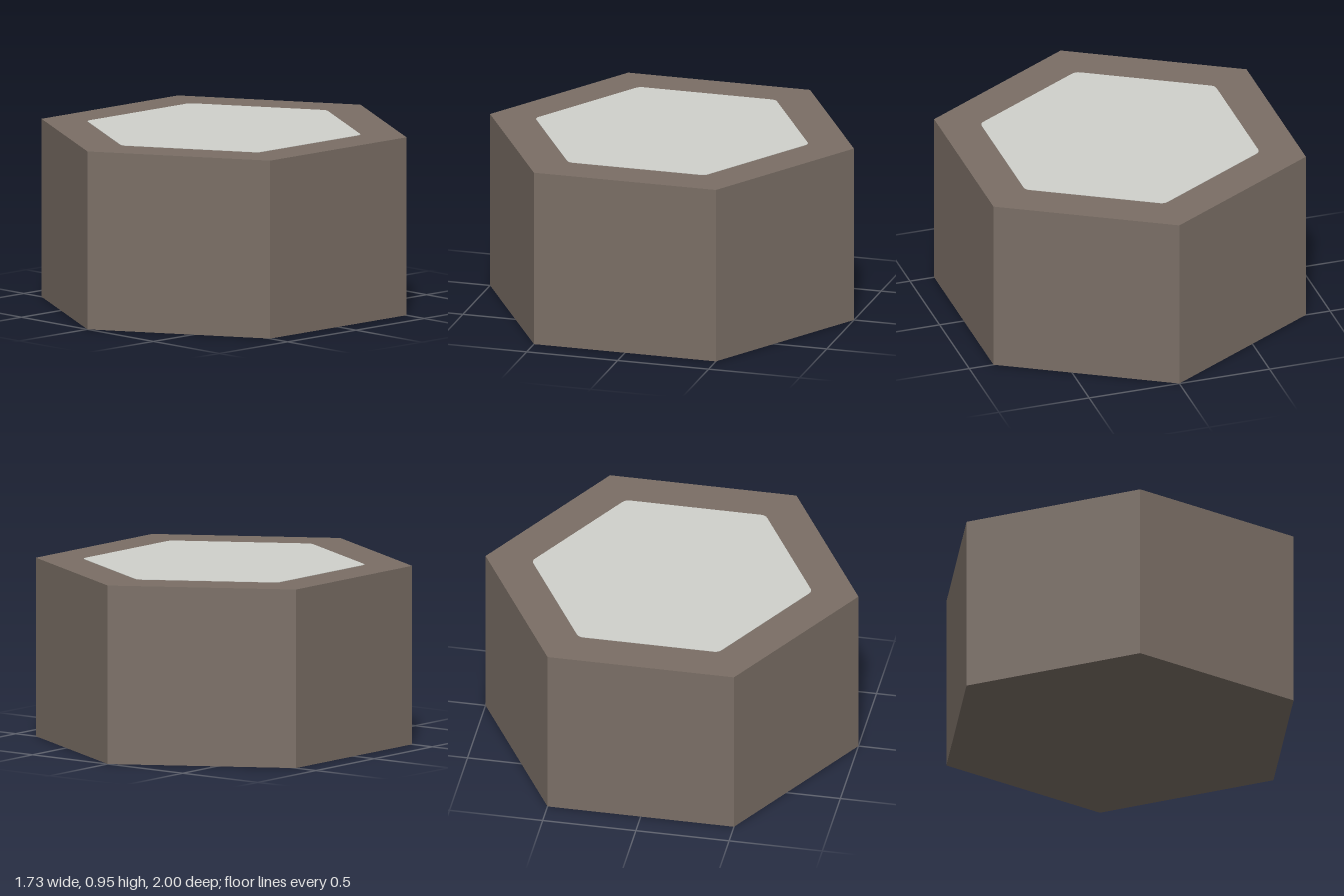
import * as THREE from 'three';

const HEIGHT = 0.952;
const PLATE = 0.002;

// Hexagon with a point on the z axis and slightly softened corners
function softHexagon(radius, soften) {
  const corners = [];
  for (let i = 0; i < 6; i++) {
    const a = (i * Math.PI) / 3;
    corners.push(new THREE.Vector2(Math.sin(a) * radius, Math.cos(a) * radius));
  }
  corners.reverse(); // counter-clockwise
  const shape = new THREE.Shape();
  corners.forEach((c, i) => {
    const before = c.clone().lerp(corners[(i + 5) % 6], soften);
    const after = c.clone().lerp(corners[(i + 1) % 6], soften);
    if (i === 0) shape.moveTo(before.x, before.y);
    else shape.lineTo(before.x, before.y);
    shape.quadraticCurveTo(c.x, c.y, after.x, after.y);
  });
  shape.closePath();
  return shape;
}

export function createModel() {
  const brown = new THREE.MeshStandardMaterial({ color: 0x7a6e65 });
  brown.name = 'stone brown';
  brown.flatShading = true;
  const pale = new THREE.MeshStandardMaterial({ color: 0xcfd0cb });
  pale.name = 'pale grey';

  const group = new THREE.Group();
  group.name = 'hexagonalTile';

  // Solid six-sided block
  const block = new THREE.Mesh(new THREE.CylinderGeometry(1, 1, HEIGHT, 6), brown);
  block.name = 'hexagonalBlock';
  block.position.y = HEIGHT / 2;
  group.add(block);

  // Thin pale inlay on the top face
  const inlayGeometry = new THREE.ExtrudeGeometry(softHexagon(0.752, 0.035), {
    depth: PLATE,
    bevelEnabled: false,
    curveSegments: 4,
  });
  inlayGeometry.rotateX(-Math.PI / 2);
  const inlay = new THREE.Mesh(inlayGeometry, pale);
  inlay.name = 'topInlay';
  inlay.position.y = HEIGHT;
  group.add(inlay);

  return group;
}
